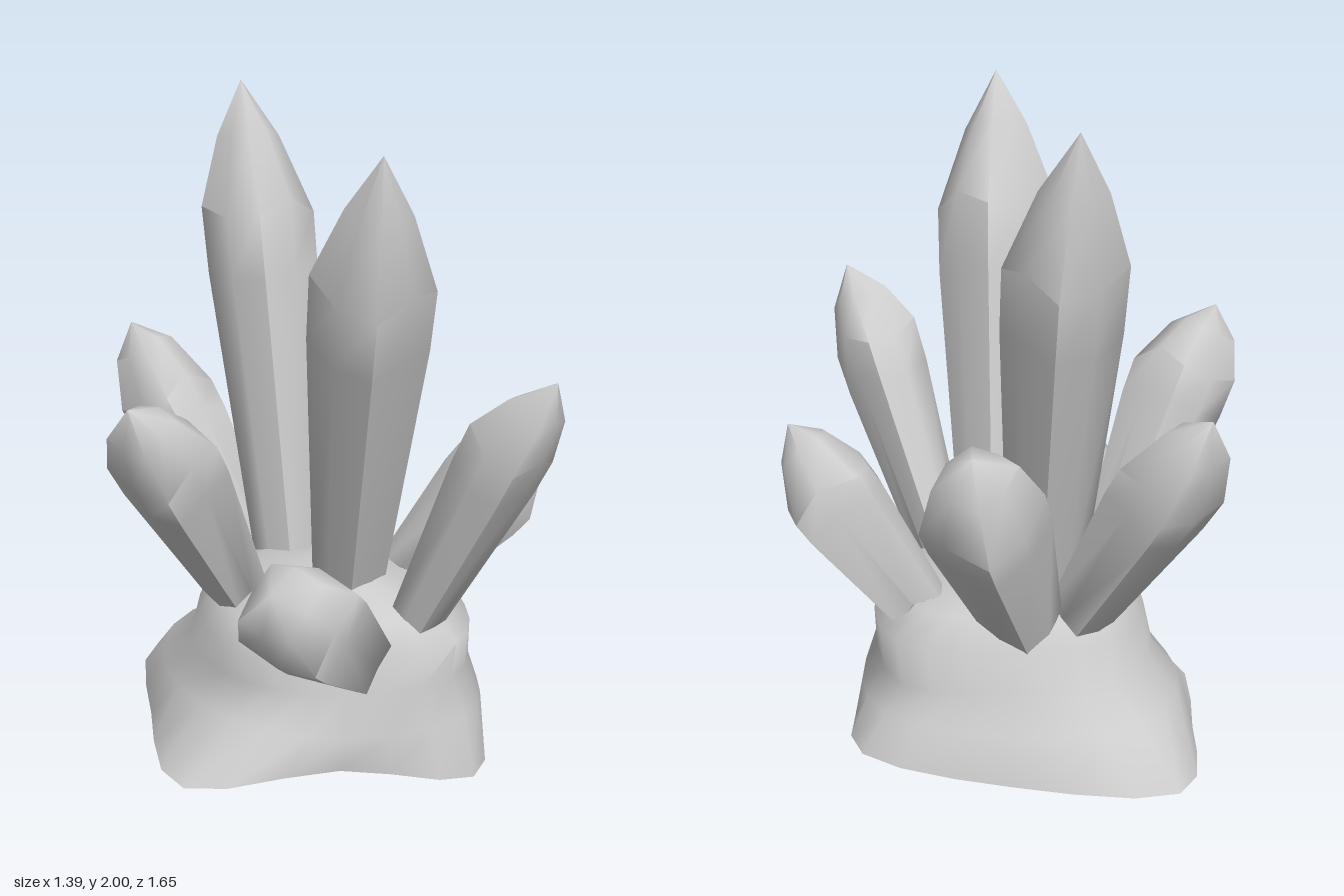
import * as THREE from 'three';
import { toCreasedNormals } from 'three/addons/utils/BufferGeometryUtils.js';

const material = new THREE.MeshStandardMaterial({ color: 0xcccccc });

// Skins closed rings from bottom to top and closes both ends with a fan.
function loft(rings, bottom, top) {
  const n = rings[0].length;
  const points = [...rings.flat(), bottom, top];
  const low = points.length - 2, high = low + 1, last = (rings.length - 1) * n;
  const index = [];
  for (let i = 0; i < n; i++) {
    const j = (i + 1) % n;
    for (let r = 0; r < last; r += n) {
      index.push(r + i, r + j, r + n + j, r + i, r + n + j, r + n + i);
    }
    index.push(low, j, i, high, last + i, last + j);
  }
  const geometry = new THREE.BufferGeometry().setFromPoints(points);
  geometry.setIndex(index);
  return toCreasedNormals(geometry, 1.25);
}

// Crystal with a rounded square section: narrow foot, wide uneven shoulder and a
// neck lying the length "peak" below an off-centre tip. h0, h1, h2 are half widths.
function crystal({ name, foot, shoulder, tip, h0, h1, h2, peak, turn = 0 }) {
  const a = new THREE.Vector3(...foot), b = new THREE.Vector3(...shoulder), c = new THREE.Vector3(...tip);
  const axis = b.clone().sub(a).normalize();
  const u = new THREE.Vector3(1, 0, 0).projectOnPlane(axis).normalize();
  const v = axis.clone().cross(u);
  const ring = (centre, half, uneven) => Array.from({ length: 8 }, (_, i) => {
    const t = turn + i * Math.PI / 4;
    const radius = half * (i % 2 ? 1.22 : 1);
    return centre.clone()
      .addScaledVector(u, Math.cos(t) * radius)
      .addScaledVector(v, Math.sin(t) * radius)
      .addScaledVector(axis, uneven * Math.cos(i * 2.1));
  });
  const neck = c.clone().lerp(b, peak / c.distanceTo(b));
  const rings = [ring(a, h0, 0.02), ring(a.clone().lerp(b, 0.82), h0 + (h1 - h0) * 0.95, 0.02),
    ring(b, h1, 0.03), ring(neck, h2, 0.01)];
  const mesh = new THREE.Mesh(loft(rings, a, c), material);
  mesh.name = name;
  return mesh;
}

// Rock: eight control points per ring, ordered +x, back, -x, front.
function rock() {
  const levels = [
    // flared lower edge
    [[.67, .08, -.01], [.43, .06, -.43], [.08, .06, -.77], [-.28, .03, -.45],
      [-.57, .03, -.02], [-.22, .06, .3], [.1, .005, .57], [.4, .04, .36]],
    // top of the lip
    [[.6, .2, -.03], [.41, .2, -.39], [.1, .22, -.62], [-.26, .21, -.4],
      [-.38, .2, .01], [-.22, .17, .32], [.11, .19, .52], [.39, .17, .36]],
    // waist
    [[.53, .27, -.03], [.36, .3, -.32], [.08, .28, -.49], [-.22, .3, -.32],
      [-.32, .3, .02], [-.17, .29, .28], [.1, .31, .475], [.36, .3, .33]],
    // shoulder of the dome
    [[.55, .42, -.03], [.36, .43, -.31], [.08, .43, -.46], [-.21, .42, -.29],
      [-.35, .4, .02], [-.17, .41, .28], [.1, .43, .49], [.37, .42, .32]],
    [[.44, .485, -.03], [.3, .5, -.25], [.07, .51, -.38], [-.17, .5, -.24],
      [-.28, .48, .02], [-.15, .49, .23], [.09, .49, .39], [.31, .48, .25]],
    [[.25, .55, -.03], [.18, .56, -.15], [.05, .57, -.22], [-.09, .57, -.14],
      [-.16, .56, .02], [-.09, .56, .14], [.07, .565, .2], [.19, .55, .14]]
  ];
  const rings = levels.map(level => {
    const curve = new THREE.CatmullRomCurve3(level.map(p => new THREE.Vector3(...p)), true);
    return curve.getPoints(24).slice(0, 24);
  });
  const mesh = new THREE.Mesh(
    loft(rings, new THREE.Vector3(.03, .06, -.05), new THREE.Vector3(.03, .6, 0)), material);
  mesh.name = 'rockBase';
  return mesh;
}

export function createModel() {
  const model = new THREE.Group();
  model.name = 'crystalCluster';
  model.add(rock());

  const crystals = [
    { name: 'tallFrontCrystal', foot: [.075, .5, .08], shoulder: [-.15, 1.58, .355],
      tip: [-.24, 1.975, .46], h0: .09, h1: .15, h2: .08, peak: .18 },
    { name: 'tallBackCrystal', foot: [.12, .5, -.2], shoulder: [.255, 1.6, -.45],
      tip: [.3, 2, -.56], h0: .09, h1: .145, h2: .08, peak: .18 },
    { name: 'frontCrystal', foot: [.09, .47, .34], shoulder: [.1, 1.11, .665],
      tip: [.1, 1.33, .82], h0: .07, h1: .115, h2: .075, peak: .12 },
    { name: 'rightSideCrystal', foot: [-.17, .52, -.17], shoulder: [-.54, 1.06, -.105],
      tip: [-.69, 1.25, -.09], h0: .08, h1: .132, h2: .085, peak: .1 },
    { name: 'rightLowCrystal', foot: [-.12, .39, .28], shoulder: [-.4, .625, .295],
      tip: [-.54, .75, .31], h0: .095, h1: .155, h2: .11, peak: .06 },
    { name: 'leftLowCrystal', foot: [.38, .46, .08], shoulder: [.54, .8, .31],
      tip: [.61, 1, .42], h0: .09, h1: .14, h2: .08, peak: .09, turn: .78 },
    { name: 'leftBackCrystal', foot: [.25, .48, -.26], shoulder: [.49, .91, -.37],
      tip: [.58, 1.12, -.44], h0: .1, h1: .155, h2: .105, peak: .08, turn: .2 },
    { name: 'backCrystal', foot: [.1, .47, -.33], shoulder: [.055, .98, -.675],
      tip: [.04, 1.21, -.82], h0: .08, h1: .125, h2: .08, peak: .1 }
  ];
  crystals.forEach(c => model.add(crystal(c)));
  return model;
}
